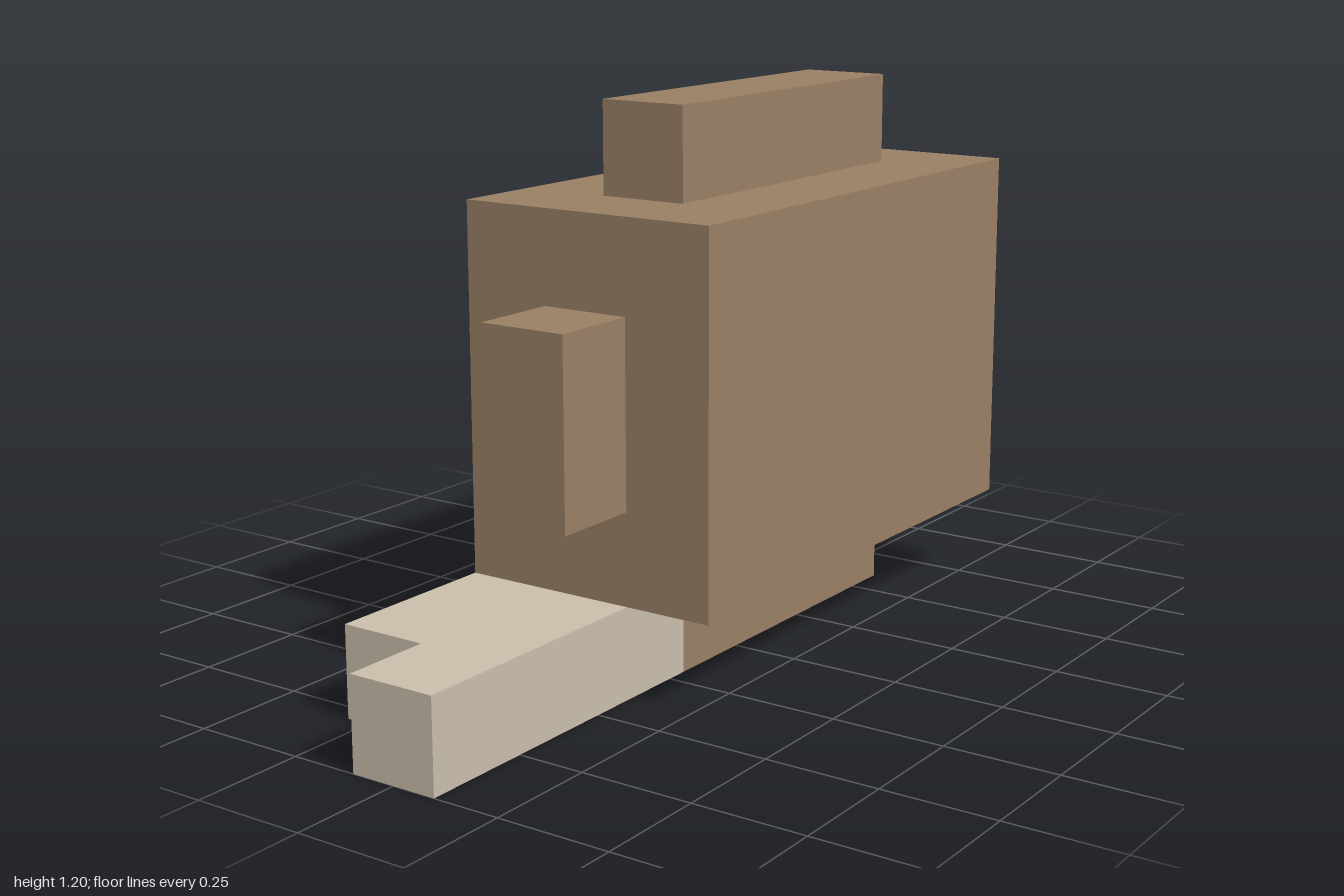
import * as THREE from 'three';

export function createModel() {
  const group = new THREE.Group();
  const brown = new THREE.MeshStandardMaterial({ color: 0x987f65 });
  brown.name = 'brown';
  const beige = new THREE.MeshStandardMaterial({ color: 0xc9bdab });
  beige.name = 'beige';

  // Box given by its width and its y and z ranges, centred on x = 0
  const block = (name, width, [y0, y1], [z0, z1]) => {
    const mesh = new THREE.Mesh(new THREE.BoxGeometry(width, y1 - y0, z1 - z0), brown);
    mesh.position.set(0, (y0 + y1) / 2, (z0 + z1) / 2);
    mesh.name = name;
    group.add(mesh);
  };

  // Main block with a raised panel on its top, bottom, front and back
  block('body', 0.6, [0.2, 1], [-0.8, 0.4]);
  block('topRidge', 0.2, [1, 1.2], [-0.6, 0.2]);
  block('bottomRidge', 0.2, [0, 0.2], [-0.6, 0.2]);
  block('frontPanel', 0.2, [0.4, 0.8], [0.4, 0.6]);
  block('backPanel', 0.2, [0.4, 0.8], [-1, -0.8]);

  // Stepped foot, drawn in plan (x, z) and extruded downwards
  const plan = [[-0.3, 0.2], [0.1, 0.2], [0.1, 1], [-0.1, 1], [-0.1, 0.8], [-0.3, 0.8]];
  const shape = new THREE.Shape(plan.map(([x, z]) => new THREE.Vector2(x, z)));
  const geometry = new THREE.ExtrudeGeometry(shape, { depth: 0.2, bevelEnabled: false });
  geometry.rotateX(Math.PI / 2).translate(0, 0.2, 0);
  const foot = new THREE.Mesh(geometry, beige);
  foot.name = 'foot';
  group.add(foot);

  return group;
}
